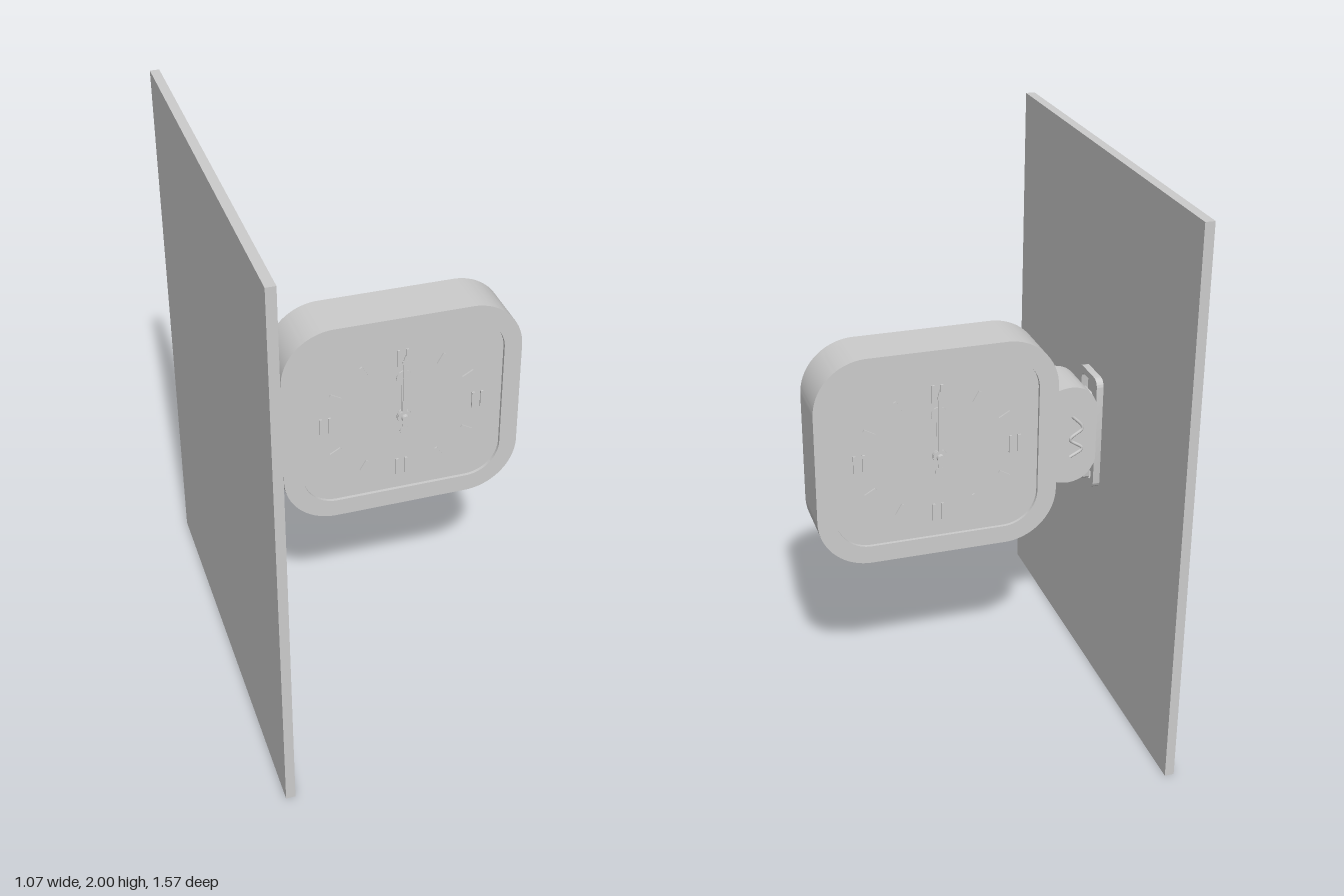
import * as THREE from 'three';
import { toCreasedNormals } from 'three/addons/utils/BufferGeometryUtils.js';

// Rounded rectangle outline, drawn on a Shape or a Path
function roundRect(p, x0, y0, x1, y1, r) {
  p.moveTo(x0 + r, y0);
  p.lineTo(x1 - r, y0);
  p.absarc(x1 - r, y0 + r, r, -Math.PI / 2, 0);
  p.lineTo(x1, y1 - r);
  p.absarc(x1 - r, y1 - r, r, 0, Math.PI / 2);
  p.lineTo(x0 + r, y1);
  p.absarc(x0 + r, y1 - r, r, Math.PI / 2, Math.PI);
  p.lineTo(x0, y0 + r);
  p.absarc(x0 + r, y0 + r, r, Math.PI, Math.PI * 1.5);
  return p;
}

function extrude(shape, z0, z1) {
  const g = new THREE.ExtrudeGeometry(shape, { depth: z1 - z0, bevelEnabled: false, curveSegments: 16 });
  g.translate(0, 0, z0);
  return toCreasedNormals(g, 0.6);
}

export function createModel() {
  const group = new THREE.Group();
  const grey = new THREE.MeshStandardMaterial({ color: 0xcccccc });
  grey.name = 'light grey';
  const add = (parent, name, geometry, x = 0, y = 0, z = 0) => {
    const m = new THREE.Mesh(geometry, grey);
    m.name = name;
    m.position.set(x, y, z);
    parent.add(m);
    return m;
  };

  // Wall panel
  add(group, 'wallPanel', new THREE.BoxGeometry(0.033, 2, 1.57), -0.523, 1, 0);

  // Case: rim with a recessed dial on both sides
  const rim = roundRect(new THREE.Shape(), -0.335, 0.612, 0.535, 1.392, 0.19);
  rim.holes.push(roundRect(new THREE.Path(), -0.265, 0.678, 0.47, 1.328, 0.125));
  add(group, 'caseRim', extrude(rim, -0.098, 0.098));
  const dial = roundRect(new THREE.Shape(), -0.265, 0.678, 0.47, 1.328, 0.125);
  add(group, 'dialCore', extrude(dial, -0.086, 0.086));

  // Neck with bulging outer corners
  const neck = new THREE.Shape();
  neck.moveTo(-0.325, 0.83);
  neck.quadraticCurveTo(-0.35, 0.818, -0.385, 0.818);
  neck.quadraticCurveTo(-0.46, 0.825, -0.481, 0.9);
  neck.lineTo(-0.481, 1.11);
  neck.quadraticCurveTo(-0.46, 1.185, -0.385, 1.19);
  neck.quadraticCurveTo(-0.35, 1.19, -0.325, 1.178);
  add(group, 'neck', extrude(neck, -0.098, 0.098));

  // Mounting bracket: outer frame and a smaller tongue, drawn in (z, y)
  const bracket = new THREE.Group();
  bracket.name = 'bracket';
  bracket.rotation.y = -Math.PI / 2;
  group.add(bracket);
  const frame = roundRect(new THREE.Shape(), -0.087, 0.768, 0.083, 1.198, 0.03);
  frame.holes.push(roundRect(new THREE.Path(), -0.062, 0.793, 0.058, 1.173, 0.02));
  add(bracket, 'bracketFrame', extrude(frame, 0.481, 0.508));
  const tongue = roundRect(new THREE.Shape(), -0.042, 0.79, 0.038, 1.13, 0.015);
  tongue.holes.push(roundRect(new THREE.Path(), -0.025, 0.807, 0.021, 1.113, 0.01));
  add(bracket, 'bracketTongue', extrude(tongue, 0.46, 0.485));

  // Small screws under the case
  for (const x of [-0.08, 0.28]) {
    add(group, 'caseScrew', new THREE.CylinderGeometry(0.008, 0.008, 0.004, 12), x, 0.612, 0);
  }

  // Hand outlines, pivot at the origin
  const hand = (tip, width, ring, ringRadius, tail) => {
    const parts = [];
    const s = new THREE.Shape();
    s.moveTo(-width, tail);
    s.lineTo(width, tail);
    s.lineTo(width * 0.8, tip - 0.02);
    s.lineTo(0, tip);
    s.lineTo(-width * 0.8, tip - 0.02);
    parts.push(s);
    for (const [y, r] of [[ring, ringRadius], [0, 0.026], [tail, 0.017]]) {
      parts.push(new THREE.Shape().absarc(0, y, r, 0, Math.PI * 2));
    }
    return parts;
  };

  // The same dial furniture on the front and the back
  for (const side of [0, 1]) {
    const face = new THREE.Group();
    face.name = side ? 'backFace' : 'frontFace';
    face.position.set(0.1, 1.0, 0);
    face.rotation.y = side * Math.PI;
    group.add(face);

    // Raised hour marks, doubled at the quarters
    for (let i = 0; i < 12; i++) {
      const a = (i * Math.PI) / 6;
      const quarter = i % 3 === 0;
      const mark = new THREE.Group();
      mark.name = 'hourMark';
      mark.position.set(0.28 * Math.sin(a), 0.228 * Math.cos(a), 0.088);
      mark.rotation.z = quarter ? 0 : -a;
      face.add(mark);
      for (const x of quarter ? [-0.016, 0.016] : [0]) {
        add(mark, 'markBar', new THREE.BoxGeometry(0.01, quarter ? 0.065 : 0.045, 0.008), x);
      }
    }

    // Hands, spindle and cap
    hand(0.19, 0.011, 0.158, 0.029, -0.02)
      .forEach((s) => add(face, 'hourHand', extrude(s, 0.104, 0.109)));
    hand(0.255, 0.008, 0.225, 0.01, -0.055)
      .forEach((s) => add(face, 'minuteHand', extrude(s, 0.114, 0.119)));
    const spindle = add(face, 'spindle', new THREE.CylinderGeometry(0.013, 0.015, 0.05, 20), 0, 0, 0.108);
    spindle.rotation.x = Math.PI / 2;

    // Raised wavy ornament on the neck
    const xc = side ? 0.503 : -0.503;
    const wave = new THREE.CatmullRomCurve3(
      [[-0.02, -0.08], [0.025, -0.05], [-0.02, -0.01], [0.025, 0.03], [-0.015, 0.08]]
        .map(([x, y]) => new THREE.Vector3(xc + x, y, 0.099)));
    add(face, 'neckOrnament', new THREE.TubeGeometry(wave, 32, 0.006, 8));
  }

  return group;
}
